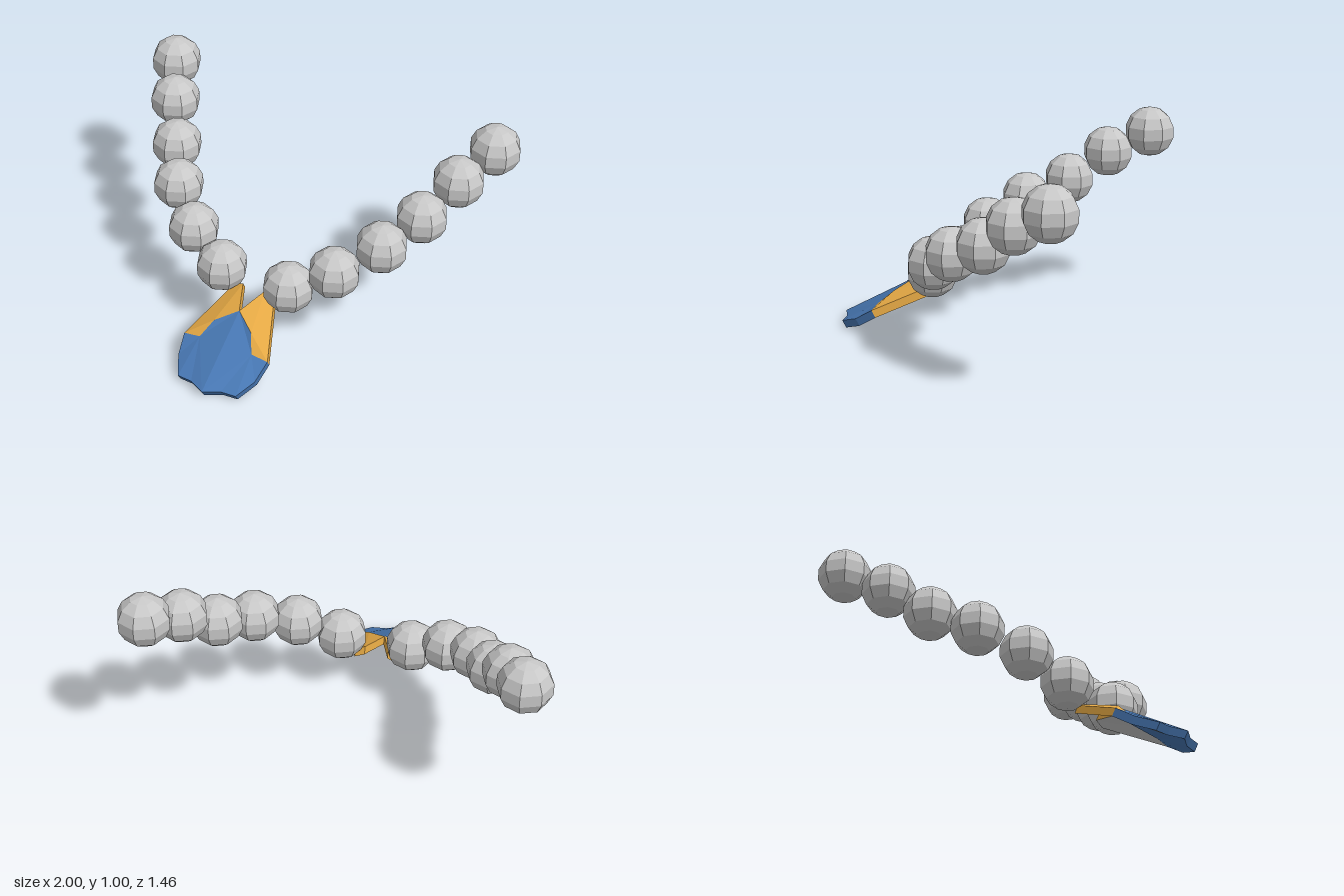
import * as THREE from 'three';

const mat = (name, color) => {
  const m = new THREE.MeshStandardMaterial({ color, flatShading: true });
  m.name = name;
  return m;
};

// Half outline of the pendant's upper surface (x > 0)
const P = {
  apex: [0, 0.25, 0.35], tip: [0, 0.036, 0.727], scallop: [0.08, 0.038, 0.687],
  corner: [0.155, 0.036, 0.68], cheek: [0.207, 0.072, 0.585], side: [0.225, 0.13, 0.492],
  seam: [0.14, 0.142, 0.492], seamTop: [0.1, 0.205, 0.42],
  hornOut: [0.11, 0.262, 0.2], hornIn: [0.06, 0.285, 0.2],
};
const FRONT = ['seam', 'seamTop', 'apex', 'tip', 'scallop', 'corner', 'cheek', 'side'];
const WING = ['seamTop', 'seam', 'side', 'hornOut', 'hornIn', 'apex'];
const lower = ([x, y, z]) => [x, y - 0.035, z - 0.02];

// Triangle fan over named points
function fan(names, under = false) {
  const pts = names.map((n) => (under ? lower(P[n]) : P[n]));
  const tris = [];
  for (let i = 1; i < pts.length - 1; i++) {
    tris.push(under ? [pts[0], pts[i + 1], pts[i]] : [pts[0], pts[i], pts[i + 1]]);
  }
  return tris;
}

// Rim between upper and lower surface along a path
function wall(names) {
  const tris = [];
  for (let i = 0; i < names.length - 1; i++) {
    const a = P[names[i]], b = P[names[i + 1]];
    tris.push([a, lower(a), lower(b)], [a, lower(b), b]);
  }
  return tris;
}

function facets(name, tris, side, material) {
  const pos = [];
  for (const [a, b, c] of tris) {
    for (const p of side > 0 ? [a, b, c] : [a, c, b]) pos.push(p[0] * side, p[1], p[2]);
  }
  const g = new THREE.BufferGeometry();
  g.setAttribute('position', new THREE.Float32BufferAttribute(pos, 3));
  g.computeVertexNormals();
  const mesh = new THREE.Mesh(g, material);
  mesh.name = name;
  return mesh;
}

export function createModel() {
  const silver = mat('silver', 0xc8c8c8);
  const blue = mat('blue', 0x4878b4);
  const gold = mat('gold', 0xe4a844);
  const model = new THREE.Group();
  model.name = 'necklace';

  // Beads, two mirrored strands
  const beadGeometry = new THREE.SphereGeometry(0.128, 8, 7);
  const beads = [
    [0.18, 0.35, 0.19], [0.38, 0.455, 0.107], [0.55, 0.56, -0.047],
    [0.667, 0.648, -0.238], [0.772, 0.78, -0.412], [0.873, 0.877, -0.605],
  ];
  for (const side of [1, -1]) {
    const strand = new THREE.Group();
    strand.name = side > 0 ? 'leftStrand' : 'rightStrand';
    for (const [x, y, z] of beads) {
      const bead = new THREE.Mesh(beadGeometry, silver);
      bead.name = 'bead';
      bead.position.set(x * side, y, z);
      strand.add(bead);
    }
    model.add(strand);
  }

  // Pendant: ridged blue front, two gold horns, silver backing
  const pendant = new THREE.Group();
  pendant.name = 'pendant';
  for (const side of [1, -1]) {
    pendant.add(
      facets('pendantFront', [...fan(FRONT), ...wall(['tip', 'scallop', 'corner', 'cheek', 'side'])], side, blue),
      facets('pendantHorn', [...fan(WING), ...wall(['side', 'hornOut', 'hornIn', 'apex'])], side, gold),
      facets('hornBacking', fan(WING, true), side, silver),
    );
  }
  pendant.add(
    facets('leftBacking', fan(FRONT, true), 1, blue),
    facets('rightInnerBacking', fan(['seam', 'seamTop', 'apex', 'tip'], true), -1, blue),
    facets('rightOuterBacking', fan(['seam', 'tip', 'scallop', 'corner', 'cheek', 'side'], true), -1, silver),
  );
  model.add(pendant);
  return model;
}
